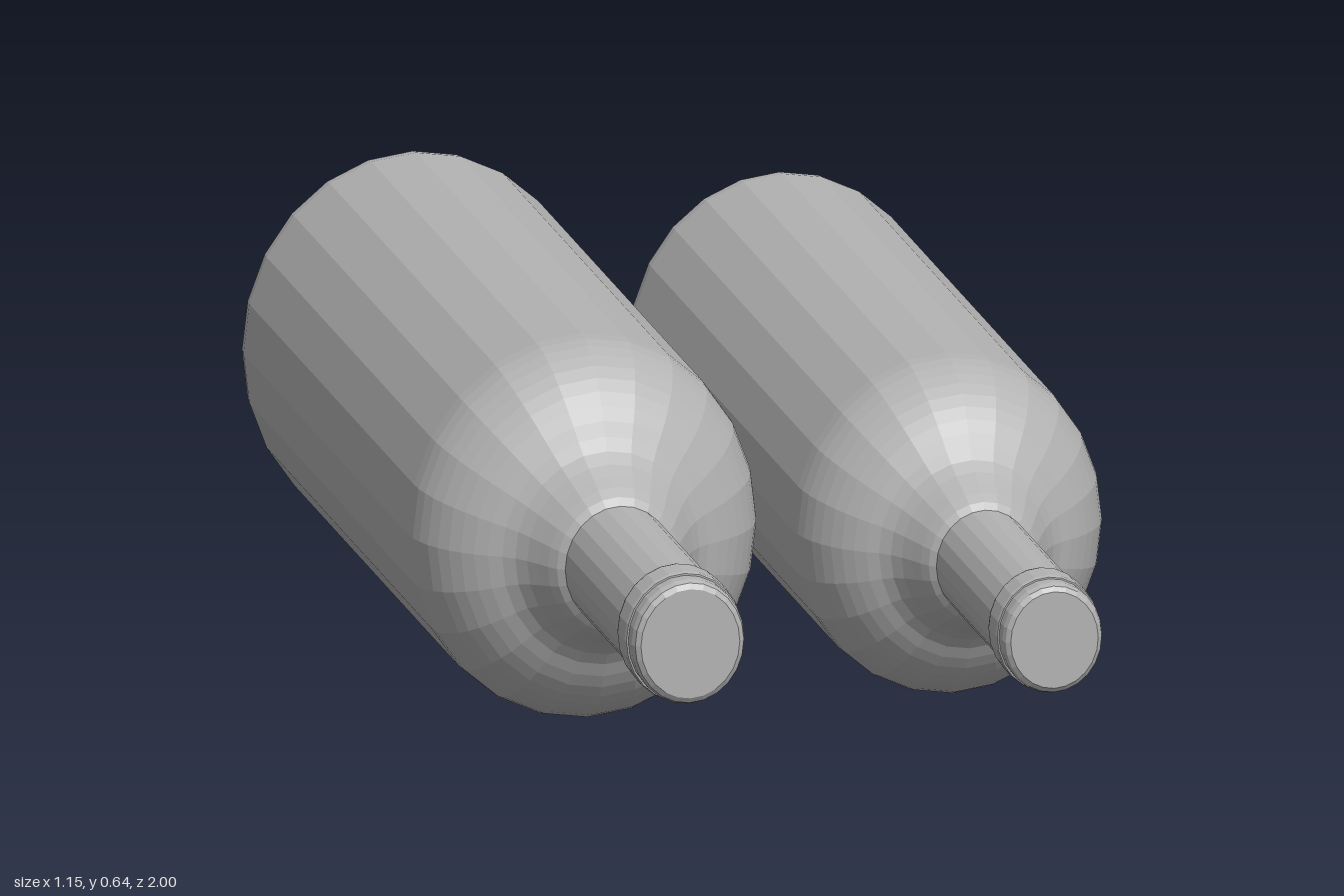
import * as THREE from 'three';

// [radius, z] profile of the glass, from the base to the end of the neck
function bodyProfile() {
  const p = [[0, -1]];
  // rounded base corner
  for (let i = 0; i <= 5; i++) {
    const a = (i / 5) * Math.PI / 2;
    p.push([0.233 + 0.085 * Math.sin(a), -0.915 - 0.085 * Math.cos(a)]);
  }
  // shoulder curving into the neck
  const shoulder = new THREE.CubicBezierCurve(
    new THREE.Vector2(0.318, 0.23), new THREE.Vector2(0.318, 0.31),
    new THREE.Vector2(0.262, 0.37), new THREE.Vector2(0.19, 0.402));
  const throat = new THREE.CubicBezierCurve(
    new THREE.Vector2(0.19, 0.402), new THREE.Vector2(0.145, 0.425),
    new THREE.Vector2(0.128, 0.495), new THREE.Vector2(0.101, 0.505));
  for (const v of shoulder.getPoints(9)) p.push([v.x, v.y]);
  for (const v of throat.getPoints(6).slice(1)) p.push([v.x, v.y]);
  p.push([0.101, 0.9]);
  return p;
}

// raised collar and rounded mouth
const collarProfile = [[0.1, 0.89], [0.107, 0.892], [0.109, 0.9], [0.109, 0.948], [0.107, 0.955], [0.1, 0.955]];
const mouthProfile = [[0.104, 0.95], [0.104, 0.978], [0.1, 0.989], [0.091, 0.995], [0, 0.995]];

function turned(name, profile, material) {
  const geometry = new THREE.LatheGeometry(profile.map(([r, z]) => new THREE.Vector2(r, z)), 24);
  geometry.rotateX(Math.PI / 2);
  const mesh = new THREE.Mesh(geometry, material);
  mesh.name = name;
  return mesh;
}

export function createModel() {
  const glass = new THREE.MeshStandardMaterial({ color: 0xb3b3b3, flatShading: true });
  glass.name = 'grey glass';

  // a bottle lying on its side, slightly narrower than it is tall
  function bottle(name, x, y, size, length) {
    const group = new THREE.Group();
    group.name = name;
    group.add(
      turned('bottleBody', bodyProfile(), glass),
      turned('neckCollar', collarProfile, glass),
      turned('bottleMouth', mouthProfile, glass));
    group.scale.set(0.9 * size, size, length);
    group.position.set(x, y, length - 1);
    return group;
  }

  const model = new THREE.Group();
  model.name = 'twoBottles';
  model.add(
    bottle('largeBottle', -0.288, 0.321, 1, 1),
    bottle('smallBottle', 0.32, 0.284, 0.885, 0.99));
  return model;
}
